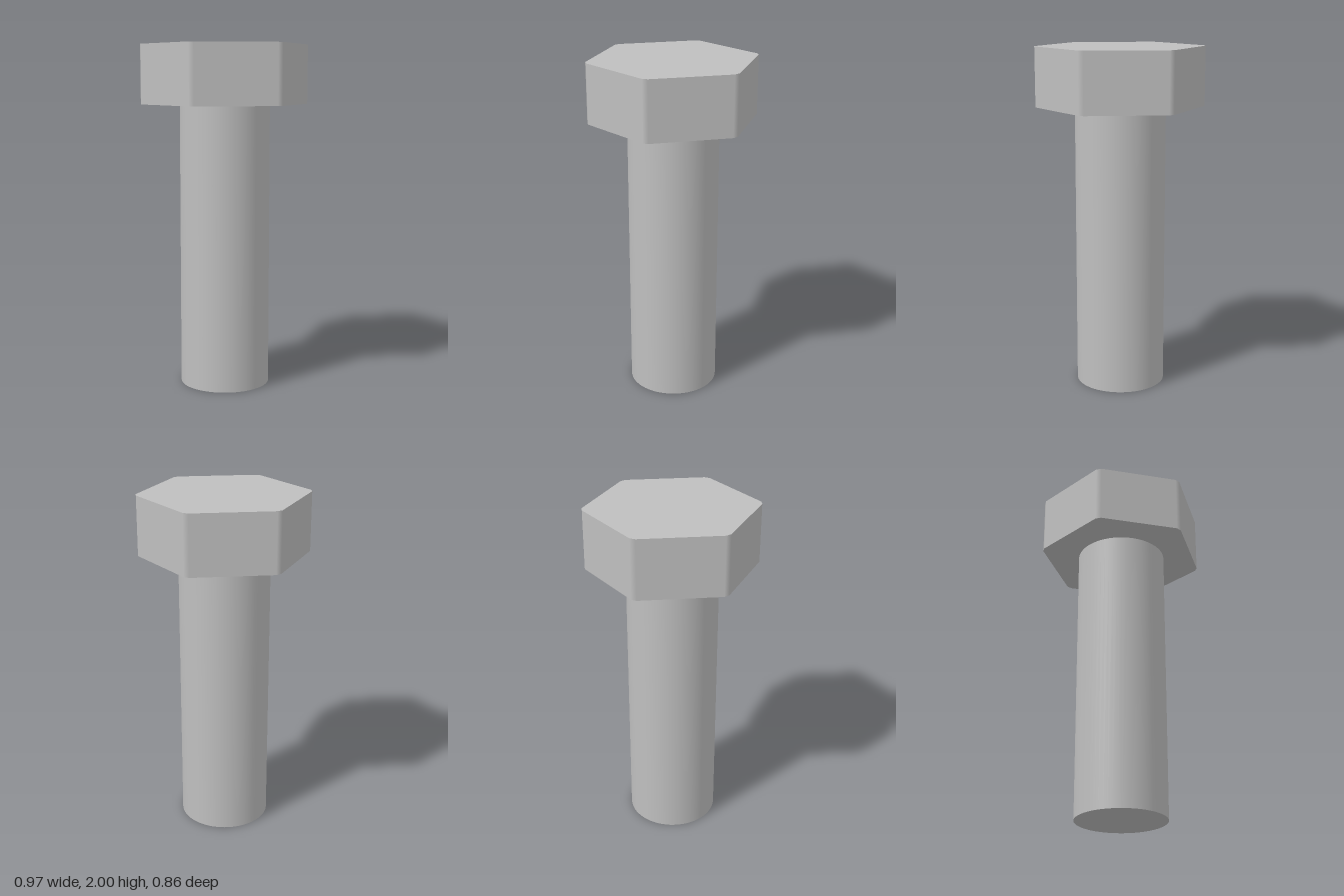
import * as THREE from 'three';

const HEIGHT = 2, HEAD_BASE = 1.657, SHANK_RADIUS = 0.262;
const APOTHEM = 0.43, CORNER = 0.487; // flat distance and trimmed corner distance

// Hexagon with each corner trimmed by a narrow facet
function hexShape() {
  const half = 2 * (APOTHEM - CORNER * Math.cos(Math.PI / 6));
  const points = [];
  for (let i = 0; i < 6; i++) {
    for (const z of [-half, half]) {
      points.push(new THREE.Vector2(CORNER, z).rotateAround(new THREE.Vector2(), i * Math.PI / 3));
    }
  }
  return new THREE.Shape(points);
}

// Side normals follow the six flats, so the trimmed corners shade as rounded
function softenCorners(geometry) {
  const { position, normal } = geometry.attributes;
  const step = Math.PI / 3;
  for (let i = 0; i < position.count; i++) {
    if (Math.abs(normal.getZ(i)) > 0.5) continue;
    const a = (Math.floor(Math.atan2(position.getY(i), position.getX(i)) / step) + 0.5) * step;
    normal.setXYZ(i, Math.cos(a), Math.sin(a), 0);
  }
}

export function createModel() {
  const model = new THREE.Group();
  model.name = 'hexBolt';
  const steel = new THREE.MeshStandardMaterial({ color: 0xbfbfbf });
  steel.name = 'steel grey';

  // Hexagonal head
  const headGeometry = new THREE.ExtrudeGeometry(hexShape(), {
    depth: HEIGHT - HEAD_BASE, bevelEnabled: false,
  });
  softenCorners(headGeometry);
  headGeometry.rotateX(-Math.PI / 2);
  const head = new THREE.Mesh(headGeometry, steel);
  head.name = 'head';
  head.position.y = HEAD_BASE;

  // Plain round shank
  const shank = new THREE.Mesh(
    new THREE.CylinderGeometry(SHANK_RADIUS, SHANK_RADIUS, HEAD_BASE, 64), steel);
  shank.name = 'shank';
  shank.position.y = HEAD_BASE / 2;

  model.add(head, shank);
  return model;
}
